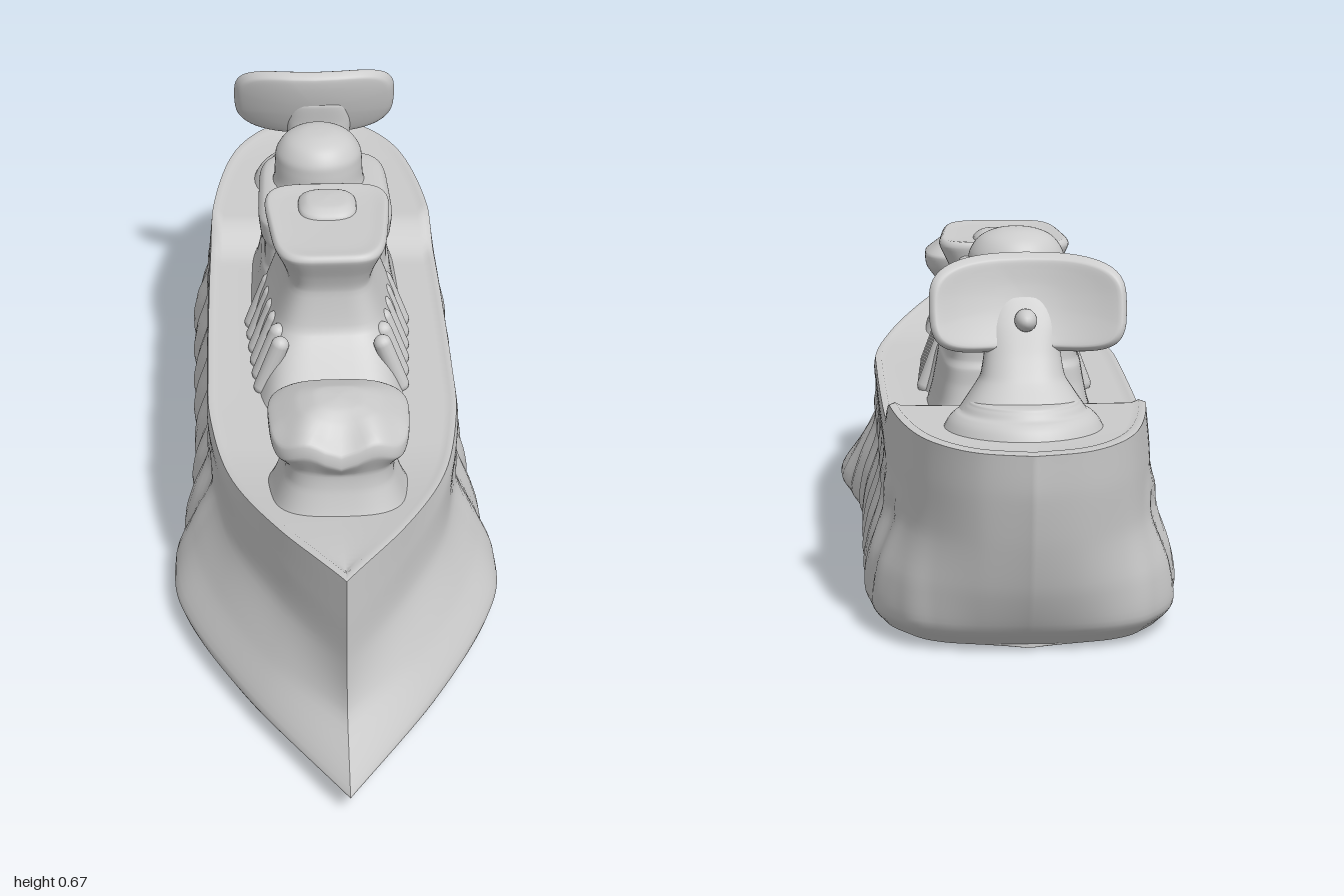
import * as THREE from 'three';
import { mergeVertices } from 'three/addons/utils/BufferGeometryUtils.js';

const { smoothstep } = THREE.MathUtils;
const material = new THREE.MeshStandardMaterial({ color: 0xcccccc });

// Skin over rows of points; weld closes the seam smoothly
function skin(rows, weld) {
  const n = rows[0].length, index = [];
  for (let r = 0; r < rows.length - 1; r++) {
    for (let i = 0; i < n - 1; i++) {
      const a = r * n + i, b = a + n;
      index.push(a, b, a + 1, a + 1, b, b + 1);
    }
  }
  let geo = new THREE.BufferGeometry().setFromPoints(rows.flat());
  geo.setIndex(index);
  if (weld) geo = mergeVertices(geo, 1e-5);
  geo.computeVertexNormals();
  return geo;
}

// Rounded-rectangle sections [y, half width, back z, front z], smoothed upwards
function loft(sections, power = 4, taper = 0) {
  const curve = k => new THREE.CatmullRomCurve3(
    sections.map(s => new THREE.Vector3(s[0], s[1], s[k])), false, 'catmullrom', 0.3);
  const back = curve(2), front = curve(3), rows = [];
  const steps = (sections.length - 1) * 5, around = 64;
  const round = v => Math.sign(v) * Math.abs(v) ** (2 / power);
  for (let j = 0; j <= steps; j++) {
    const b = back.getPoint(j / steps), f = front.getPoint(j / steps);
    rows.push(Array.from({ length: around + 1 }, (_, i) => {
      const a = ((i % around) / around) * Math.PI * 2, s = round(Math.sin(a));
      return new THREE.Vector3(Math.max(b.y, 0) * round(Math.cos(a)) * (1 - taper * s),
        b.x, (b.z + f.z) / 2 + s * (f.z - b.z) / 2);
    }));
  }
  return skin(rows, true);
}

// Move every vertex by a rule
function bend(geo, rule) {
  const pos = geo.attributes.position, p = new THREE.Vector3();
  for (let i = 0; i < pos.count; i++) {
    rule(p.fromBufferAttribute(pos, i));
    pos.setXYZ(i, p.x, p.y, p.z);
  }
  geo.computeVertexNormals();
  return geo;
}

// Height of the rim along the ship
const sheer = z => 0.327 + 0.057 * smoothstep(z, 0.3, 0.83) + 0.046 * smoothstep(-z, 0.45, 0.57);

// Half outlines of the hull, stern to bow, at rising heights
const outlines = [
  [0.008, [[0, -0.86], [0.08, -0.858], [0.15, -0.84], [0.2, -0.795], [0.25, -0.68], [0.255, -0.4], [0.26, 0], [0.275, 0.25], [0.25, 0.45], [0.155, 0.7], [0, 0.96]]],
  [0.045, [[0, -0.9], [0.085, -0.895], [0.16, -0.875], [0.22, -0.83], [0.272, -0.7], [0.277, -0.4], [0.278, 0], [0.316, 0.3], [0.285, 0.48], [0.165, 0.73], [0, 1]]],
  [0.12, [[0, -0.94], [0.09, -0.925], [0.165, -0.885], [0.22, -0.825], [0.265, -0.68], [0.266, -0.4], [0.268, 0], [0.277, 0.28], [0.232, 0.49], [0.13, 0.7], [0, 0.872]]],
  [0.21, [[0, -0.97], [0.09, -0.945], [0.16, -0.885], [0.205, -0.8], [0.237, -0.64], [0.239, -0.4], [0.238, 0], [0.236, 0.23], [0.2, 0.45], [0.112, 0.65], [0, 0.838]]],
  [0.3, [[0, -0.99], [0.094, -0.958], [0.16, -0.89], [0.202, -0.79], [0.236, -0.61], [0.244, -0.4], [0.247, 0], [0.243, 0.21], [0.202, 0.43], [0.112, 0.64], [0, 0.828]]],
  [null, [[0, -0.995], [0.092, -0.965], [0.158, -0.89], [0.2, -0.78], [0.23, -0.6], [0.24, -0.4], [0.245, 0], [0.24, 0.2], [0.2, 0.42], [0.11, 0.64], [0, 0.82]]],
].map(([y, pts]) => [y, new THREE.SplineCurve(pts.map(p => new THREE.Vector2(...p)))]);

function hullRows() {
  const half = 110, levels = 30;
  const columns = Array.from({ length: half + 1 }, (_, i) => {
    const curve = new THREE.CatmullRomCurve3(outlines.map(([y, c]) => {
      const p = c.getPoint(i / half);
      return new THREE.Vector3(p.x, y ?? sheer(p.y), p.y);
    }), false, 'catmullrom', 0.4);
    return curve.getPoints(levels).map(p => {
      // Soft ribs and a ledge along the sides
      const along = smoothstep(p.z, -0.8, -0.65) * (1 - smoothstep(p.z, 0.18, 0.32));
      const rib = Math.cos(p.z * Math.PI * 2 / 0.125) * smoothstep(p.y, 0.01, 0.08) * (1 - smoothstep(p.y, 0.2, 0.27));
      p.x += along * (0.006 * rib + 0.007 * Math.exp(-(((p.y - 0.235) / 0.025) ** 2)));
      // The foot rises towards the bow
      p.y += 0.025 * smoothstep(p.z, 0.65, 1) * (1 - smoothstep(p.y, 0.01, 0.05));
      return p;
    });
  });
  // Bow, down the right side, round the stern, up the left side
  return Array.from({ length: levels + 1 }, (_, k) => [
    ...columns.map(c => c[k].clone().setX(-c[k].x)).reverse(),
    ...columns.slice(1).map(c => c[k]),
  ]);
}

export function createModel() {
  const ship = new THREE.Group();
  const add = (name, geo, parent = ship) => {
    const mesh = new THREE.Mesh(geo, material);
    mesh.name = name;
    parent.add(mesh);
    return mesh;
  };

  // Hull, flat bottom, and deck slightly sunk inside the rim
  const rows = hullRows(), rim = rows[rows.length - 1];
  const inset = (row, s, drop) => row.map(p => new THREE.Vector3(p.x * s, p.y - drop, p.z * (s > 0 ? 0.5 + s / 2 : 0.96)));
  add('hull', skin(rows));
  add('bottom', skin([rows[0].map(p => new THREE.Vector3(0, p.y - 0.008, p.z)), rows[0]]));
  add('deck', skin([rim, inset(rim, 0.95, -0.002), inset(rim, 0.9, 0.007), inset(rim, 0, 0.007)]));

  // Fore gun house: wide brow that dips in the middle, roof falling aft
  const gunHouse = loft([
    [0.31, 0.14, 0.325, 0.605], [0.35, 0.122, 0.35, 0.578], [0.4, 0.104, 0.362, 0.562], [0.435, 0.106, 0.36, 0.56],
    [0.468, 0.128, 0.342, 0.578], [0.495, 0.13, 0.336, 0.575], [0.513, 0.108, 0.355, 0.555],
    [0.533, 0.078, 0.4, 0.53], [0.545, 0.045, 0.43, 0.505], [0.548, 0, 0.46, 0.47],
  ], 3.2, 0.04);
  add('foreGunHouse', bend(gunHouse, p => {
    const brow = smoothstep(p.y, 0.42, 0.48) * smoothstep(p.z, 0.48, 0.57);
    p.y -= brow * 0.012 * Math.cos(p.x * 50);
  }));

  // Bridge: sloped foot, narrow waist, flared top with a hatch
  const bridge = new THREE.Group();
  bridge.name = 'bridge';
  ship.add(bridge);
  add('bridgeTower', loft([
    [0.31, 0.155, -0.24, 0.215], [0.35, 0.143, -0.24, 0.172], [0.4, 0.13, -0.235, 0.105], [0.44, 0.116, -0.23, 0.062],
    [0.52, 0.09, -0.22, 0.047], [0.56, 0.1, -0.225, 0.058], [0.603, 0.119, -0.232, 0.078],
    [0.616, 0.112, -0.226, 0.07], [0.613, 0.085, -0.19, 0.035], [0.61, 0, -0.08, -0.07],
  ], 4.5, 0.12), bridge);
  add('bridgeHatch', loft([
    [0.59, 0.062, -0.21, -0.075], [0.616, 0.057, -0.2, -0.085], [0.628, 0.04, -0.18, -0.105], [0.631, 0, -0.15, -0.14],
  ], 3), bridge);
  for (const side of [-1, 1]) {
    for (let i = 0; i < 6; i++) {
      const rib = add('bridgeRib', new THREE.CapsuleGeometry(0.018, 0.1, 6, 14), bridge);
      rib.position.set(side * (0.119 + i * 0.003), 0.375, 0.08 - i * 0.05);
      rib.rotation.z = side * 0.36;
    }
  }

  // Aft deckhouse with ledges
  add('aftDeckhouse', loft([
    [0.31, 0.155, -0.535, -0.18], [0.35, 0.143, -0.508, -0.18], [0.39, 0.135, -0.497, -0.18], [0.42, 0.13, -0.495, -0.18],
    [0.437, 0.124, -0.489, -0.18], [0.48, 0.124, -0.488, -0.18], [0.497, 0.131, -0.495, -0.18],
    [0.535, 0.135, -0.5, -0.18], [0.55, 0.124, -0.488, -0.19], [0.555, 0.1, -0.46, -0.21], [0.556, 0, -0.35, -0.34],
  ], 5, -0.04));
  add('roofStep', loft([
    [0.54, 0.1, -0.32, -0.19], [0.575, 0.095, -0.295, -0.2], [0.59, 0.08, -0.275, -0.2], [0.593, 0, -0.25, -0.24],
  ], 4));

  // Round dome on a short drum
  const domeProfile = new THREE.SplineCurve([[0.1, 0.54], [0.092, 0.565], [0.09, 0.6], [0.086, 0.625],
    [0.067, 0.65], [0.035, 0.664], [0, 0.667]].map(p => new THREE.Vector2(...p)));
  add('dome', new THREE.LatheGeometry(domeProfile.getPoints(30), 48)).position.set(-0.01, 0, -0.367);

  // Stepped round platform flowing into the pedestal of the dish
  const platformProfile = [[0.15, 0.345], [0.135, 0.376], [0.122, 0.39], [0.11, 0.396], [0.1, 0.408],
    [0.085, 0.415], [0, 0.418]].map(p => new THREE.Vector2(...p));
  add('aftPlatform', new THREE.LatheGeometry(new THREE.SplineCurve(platformProfile).getPoints(30), 48)).position.z = -0.718;
  add('dishPedestal', loft([
    [0.39, 0.115, -0.81, -0.6], [0.42, 0.094, -0.78, -0.612], [0.45, 0.075, -0.75, -0.624], [0.49, 0.068, -0.725, -0.634],
    [0.54, 0.068, -0.7, -0.636], [0.585, 0.055, -0.675, -0.632], [0.6, 0, -0.655, -0.645],
  ], 2.5));

  // Curved dish panel, hollow towards the stern and narrower below
  const panel = loft([
    [-0.02, 0, -0.005, 0.005], [-0.02, 0.06, -0.03, 0.03], [-0.02, 0.12, -0.055, 0.055], [-0.018, 0.162, -0.074, 0.074],
    [0, 0.174, -0.084, 0.084], [0.018, 0.162, -0.074, 0.074], [0.02, 0.12, -0.055, 0.055],
    [0.02, 0.06, -0.03, 0.03], [0.02, 0, -0.005, 0.005],
  ], 3.8);
  panel.rotateX(Math.PI / 2);
  add('dishPanel', bend(panel, p => {
    p.z += 0.3 * p.y - 1.5 * p.y * p.y - 1.9 * p.x * p.x;
    p.y -= 0.25 * p.x * p.x;
    p.x *= 1 + 0.6 * Math.min(p.y + 0.02, 0);
  })).position.set(-0.008, 0.579, -0.655);
  const feed = add('dishFeed', new THREE.SphereGeometry(0.02, 20, 14));
  feed.position.set(-0.005, 0.55, -0.698);
  feed.scale.z = 1.6;

  return ship;
}
